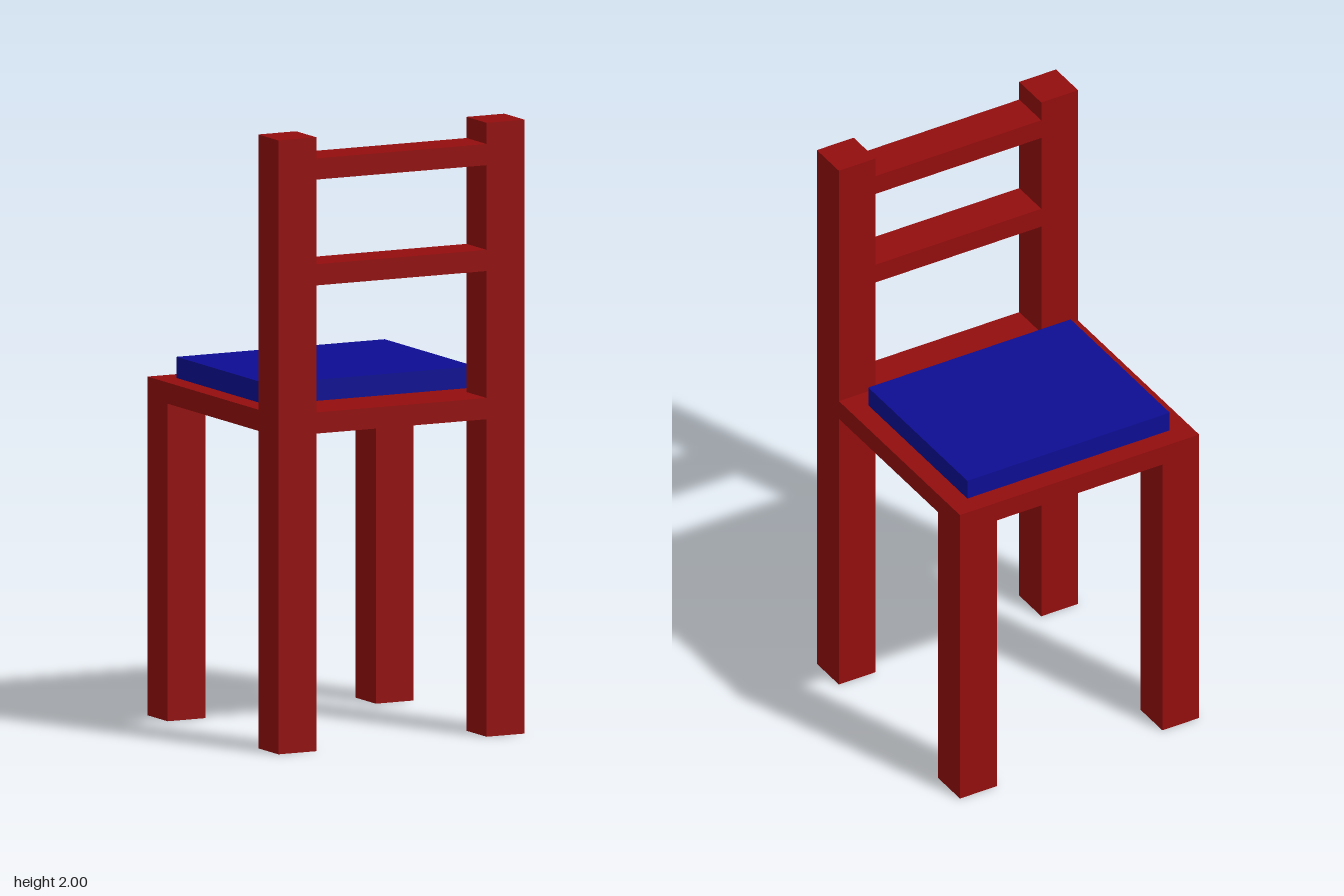
import * as THREE from 'three';

// All sizes are whole steps of one board thickness: 29 steps tall, 13 wide and deep.
const U = 2 / 29;

export function createModel() {
  const model = new THREE.Group();
  model.name = 'chair';

  const redWood = new THREE.MeshStandardMaterial({ color: 0x930d0d });
  redWood.name = 'red wood';
  const blueCushion = new THREE.MeshStandardMaterial({ color: 0x0d0d93 });
  blueCushion.name = 'blue cushion';

  // Box given by its lower and upper corners, in steps
  function addBox(name, material, [x0, y0, z0], [x1, y1, z1]) {
    const geometry = new THREE.BoxGeometry((x1 - x0) * U, (y1 - y0) * U, (z1 - z0) * U);
    const mesh = new THREE.Mesh(geometry, material);
    mesh.position.set((x0 + x1) / 2 * U, (y0 + y1) / 2 * U, (z0 + z1) / 2 * U);
    mesh.name = name;
    model.add(mesh);
  }

  // Short legs at -z, tall posts at +z
  for (const [side, x] of [['left', 4.5], ['right', -6.5]]) {
    addBox(`${side}Leg`, redWood, [x, 0, -6.5], [x + 2, 15, -4.5]);
    addBox(`${side}BackPost`, redWood, [x, 0, 4.5], [x + 2, 29, 6.5]);
  }

  // Backrest rails, as deep as the posts
  addBox('lowerRail', redWood, [-4.5, 22, 4.5], [4.5, 23, 6.5]);
  addBox('upperRail', redWood, [-4.5, 27, 4.5], [4.5, 28, 6.5]);

  // Seat frame: notched around the posts, open where the cushion sits
  const points = (list) => list.map(([x, z]) => new THREE.Vector2(x * U, z * U));
  const outline = new THREE.Shape(points([
    [-6.5, -6.5], [6.5, -6.5], [6.5, 4.5], [4.5, 4.5],
    [4.5, 6.5], [-4.5, 6.5], [-4.5, 4.5], [-6.5, 4.5],
  ]));
  outline.holes.push(new THREE.Path(points([[-5.5, -5.5], [-5.5, 3.5], [5.5, 3.5], [5.5, -5.5]])));
  const frame = new THREE.ExtrudeGeometry(outline, { depth: U, bevelEnabled: false });
  frame.rotateX(Math.PI / 2);
  frame.translate(0, 16 * U, 0);
  const seatFrame = new THREE.Mesh(frame, redWood);
  seatFrame.name = 'seatFrame';
  model.add(seatFrame);

  // Cushion fills the opening and rises above the frame
  addBox('cushion', blueCushion, [-5.5, 15, -5.5], [5.5, 17, 3.5]);

  return model;
}
